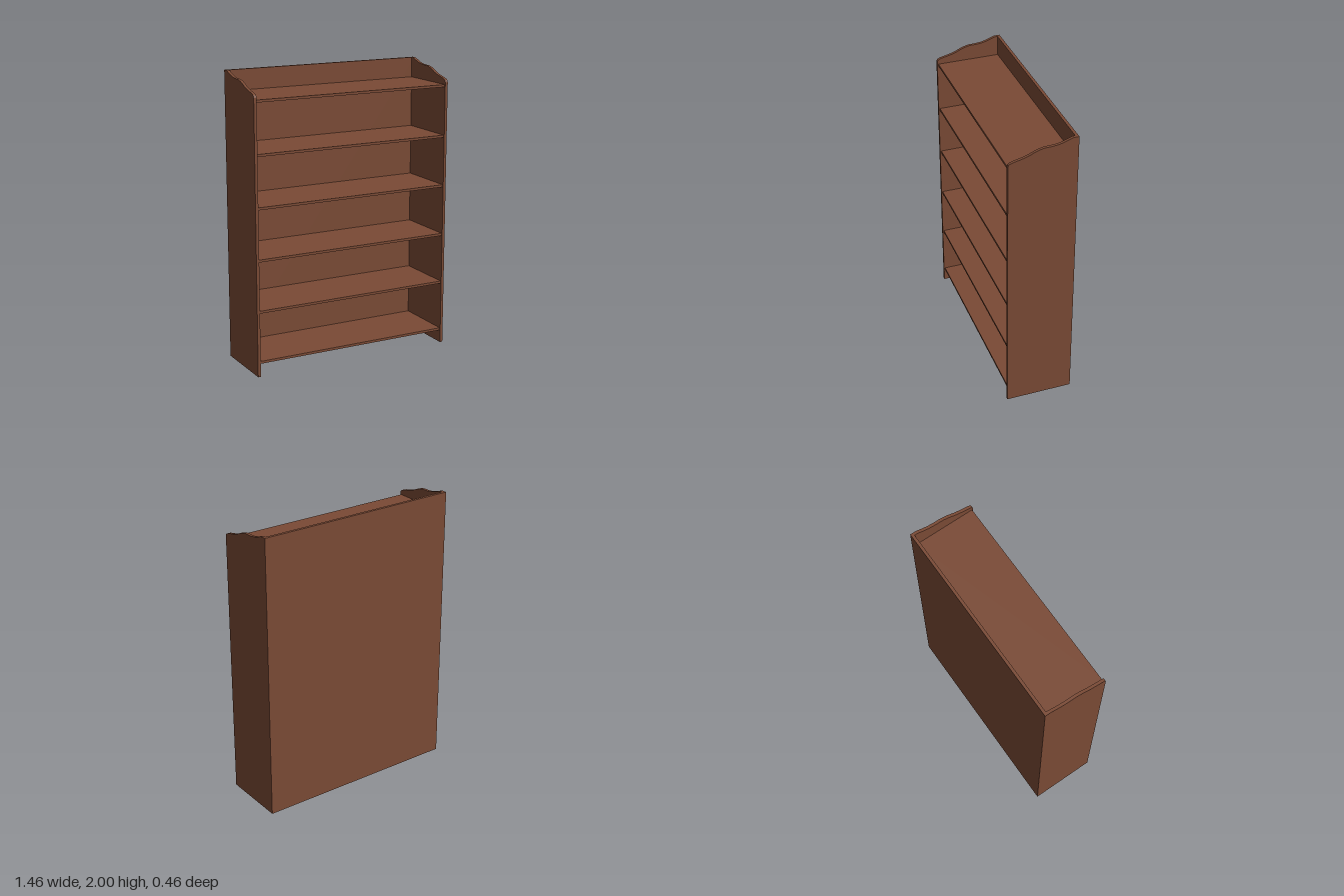
import * as THREE from 'three';

export function createModel() {
  const group = new THREE.Group();
  group.name = 'bookcase';
  const wood = new THREE.MeshStandardMaterial({ color: 0x7a4a35 });
  wood.name = 'brown wood';

  const W = 1.456, H = 2, D = 0.46, T = 0.02;

  const add = (name, geometry, x, y, z) => {
    const mesh = new THREE.Mesh(geometry, wood);
    mesh.name = name;
    mesh.position.set(x, y, z);
    group.add(mesh);
  };

  // Back panel, full width and height
  add('backPanel', new THREE.BoxGeometry(W, H, T), 0, H / 2, -D / 2 + T / 2);

  // Side panel outline in (z, y), with a scrolled top edge
  const crest = new THREE.SplineCurve([
    [0.23, 1.875], [0.222, 1.891], [0.197, 1.902], [0.145, 1.914], [0.095, 1.929],
    [0.053, 1.948], [0, 1.963], [-0.05, 1.965], [-0.095, 1.97], [-0.138, 1.981],
    [-0.185, 1.998], [-0.21, 2],
  ].map(([z, y]) => new THREE.Vector2(z, y)));
  const outline = new THREE.Shape([
    new THREE.Vector2(-D / 2 + T, 0),
    new THREE.Vector2(D / 2, 0),
    ...crest.getPoints(36),
  ]);
  const side = new THREE.ExtrudeGeometry(outline, { depth: T, bevelEnabled: false });
  side.rotateY(-Math.PI / 2); // outline x becomes z, thickness runs to -x
  add('leftSide', side, W / 2, 0, 0);
  add('rightSide', side, -W / 2 + T, 0, 0);

  // Six evenly spaced shelves, set slightly behind the front edges
  const back = -D / 2 + T, front = 0.222;
  const shelf = new THREE.BoxGeometry(W - 2 * T, 0.017, front - back);
  for (let i = 0; i < 6; i++) {
    add('shelf' + (i + 1), shelf, 0, 0.097 + i * 0.351, (front + back) / 2);
  }
  return group;
}
